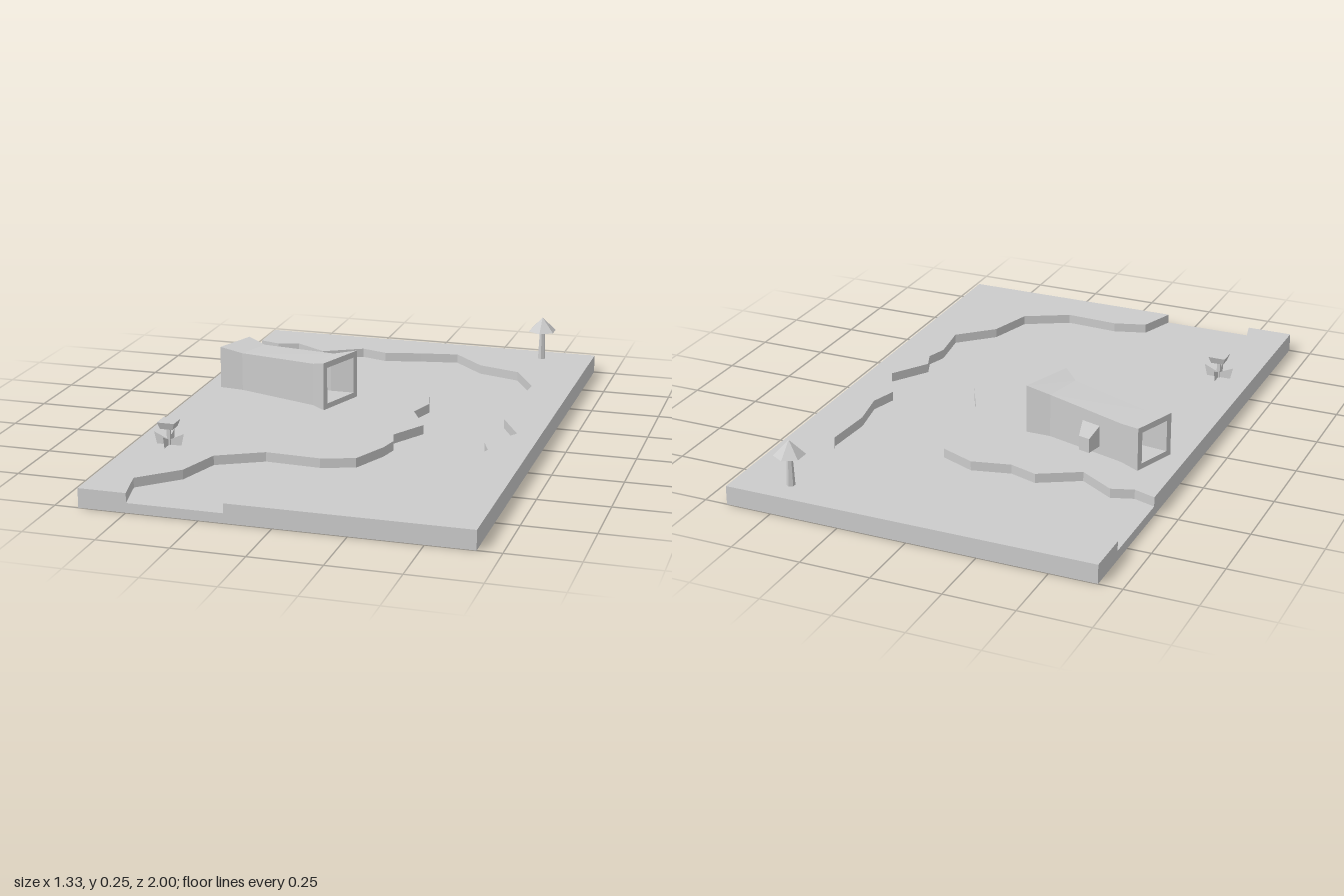
import * as THREE from 'three';

const FLOOR = 0.034, TOP = 0.068;
const mat = new THREE.MeshStandardMaterial({ color: 0xcccccc, flatShading: true });
const thinMat = new THREE.MeshStandardMaterial({ color: 0xcccccc, flatShading: true, side: THREE.DoubleSide });

function add(parent, name, geometry, x = 0, y = 0, z = 0, material = mat) {
  const mesh = new THREE.Mesh(geometry, material);
  mesh.name = name;
  mesh.position.set(x, y, z);
  parent.add(mesh);
  return mesh;
}

// Ground piece from a plan outline of [x, z] points
function bank(points) {
  const shape = new THREE.Shape(points.map(([x, z]) => new THREE.Vector2(x, -z)));
  const g = new THREE.ExtrudeGeometry(shape, { depth: TOP - FLOOR, bevelEnabled: false });
  return g.rotateX(-Math.PI / 2);
}

// Skin a series of equal-sized rings of [x, y, z] points with flat quads
function loft(rings) {
  const pos = [];
  for (let i = 0; i < rings.length - 1; i++) {
    const p = rings[i], q = rings[i + 1], n = p.length;
    for (let j = 0; j < n; j++) {
      const k = (j + 1) % n;
      pos.push(...p[j], ...q[j], ...q[k], ...p[j], ...q[k], ...p[k]);
    }
  }
  const g = new THREE.BufferGeometry();
  g.setAttribute('position', new THREE.Float32BufferAttribute(pos, 3));
  g.computeVertexNormals();
  return g;
}

// Rectangular ring between two plan points, shrunk by side and height insets
function section([x0, z0, x1, z1, top], side = 0, low = 0, high = 0) {
  const w = Math.hypot(x1 - x0, z1 - z0), dx = (x1 - x0) / w * side, dz = (z1 - z0) / w * side;
  const a = [x0 + dx, z0 + dz], b = [x1 - dx, z1 - dz], y0 = TOP + low, y1 = top - high;
  return [[a[0], y0, a[1]], [b[0], y0, b[1]], [b[0], y1, b[1]], [a[0], y1, a[1]]];
}

// River edges, from the back-left inlet round to the front outlet
const outerEdge = [
  [-0.667, -0.835], [-0.588, -0.81], [-0.51, -0.835], [-0.382, -0.755], [-0.238, -0.835],
  [-0.138, -0.803], [0, -0.835], [0.143, -0.861], [0.265, -0.74], [0.424, -0.69],
  [0.514, -0.527], [0.503, -0.342], [0.53, -0.199], [0.503, -0.103], [0.583, 0.045],
  [0.498, 0.178], [0.525, 0.246], [0.503, 0.32], [0.525, 0.474], [0.403, 0.59],
  [0.355, 0.755], [0.196, 0.84], [0, 0.83], [-0.117, 0.866], [-0.164, 1],
];
const innerEdge = [
  [-0.667, -0.506], [-0.588, -0.48], [-0.51, -0.506], [-0.382, -0.427], [-0.238, -0.506],
  [-0.138, -0.474], [0, -0.506], [0.127, -0.453], [0.17, -0.326], [0.2, -0.204],
  [0.17, -0.098], [0.244, 0.045], [0.17, 0.178], [0.19, 0.246], [0.175, 0.32],
  [0.117, 0.458], [0, 0.495], [-0.196, 0.485], [-0.355, 0.57], [-0.403, 0.734],
  [-0.53, 0.856], [-0.498, 1],
];

export function createModel() {
  const model = new THREE.Group();
  model.name = 'riverScene';

  // Ground: base slab with a bank on each side of the sunken river
  const ground = new THREE.Group();
  ground.name = 'ground';
  model.add(ground);
  add(ground, 'riverBed', new THREE.BoxGeometry(1.334, FLOOR, 2), 0, FLOOR / 2, 0);
  add(ground, 'outerBank', bank([...outerEdge, [0.667, 1], [0.667, -1], [-0.667, -1]]), 0, FLOOR, 0);
  add(ground, 'innerBank', bank([...innerEdge, [-0.667, 1]]), 0, FLOOR, 0);

  // Shelter: hollow tube, flared and open at both ends
  const shelter = new THREE.Group();
  shelter.name = 'shelter';
  model.add(shelter);
  const stations = [
    [-0.546, -0.347, -0.604, -0.183, 0.225],
    [-0.47, -0.305, -0.514, -0.172, 0.211],
    [-0.17, -0.215, -0.203, -0.066, 0.226],
    [-0.08, -0.215, -0.148, -0.019, 0.245],
  ];
  const outside = stations.map(s => section(s));
  const inside = stations.map((s, i) => section(s, 0.022, 0.02, i % 3 ? 0.013 : 0.022));
  add(shelter, 'tunnel', loft([...outside, ...inside.reverse(), outside[0]]));

  // Tapered box on the back wall
  const base = [[-0.38, 0.095, -0.27], [-0.307, 0.095, -0.25], [-0.307, 0.175, -0.25], [-0.38, 0.175, -0.27]];
  const end = [[-0.376, 0.109, -0.363], [-0.334, 0.109, -0.352], [-0.334, 0.161, -0.352], [-0.376, 0.161, -0.363]];
  add(shelter, 'sideVent', loft([base, end, Array(4).fill([-0.355, 0.135, -0.3575])]));

  // Flower: square stem and head with two crossed leaf planes
  const flower = new THREE.Group();
  flower.name = 'flower';
  flower.position.set(-0.543, TOP, 0.503);
  model.add(flower);
  add(flower, 'flowerStem', new THREE.BoxGeometry(0.012, 0.064, 0.012), 0, 0.032, 0);
  const head = new THREE.CylinderGeometry(0.0315 * Math.SQRT2, 0.023 * Math.SQRT2, 0.025, 4).rotateY(Math.PI / 4);
  add(flower, 'flowerHead', head, 0, 0.0745, 0);
  const leaf = new THREE.Shape([[-0.045, 0], [0.045, 0], [0.055, 0.043], [0, 0.018], [-0.055, 0.043]]
    .map(([x, y]) => new THREE.Vector2(x, y)));
  for (let i = 0; i < 2; i++) {
    add(flower, 'leaves', new THREE.ShapeGeometry(leaf), 0, 0, 0, thinMat).rotation.y = i * Math.PI / 2;
  }

  // Tree: six-sided trunk and cone
  const tree = new THREE.Group();
  tree.name = 'tree';
  tree.position.set(0.473, TOP, -0.905);
  model.add(tree);
  add(tree, 'trunk', new THREE.CylinderGeometry(0.01, 0.015, 0.114, 6), 0, 0.057, 0);
  add(tree, 'treeTop', new THREE.ConeGeometry(0.055, 0.054, 6), 0, 0.139, 0);

  return model;
}
